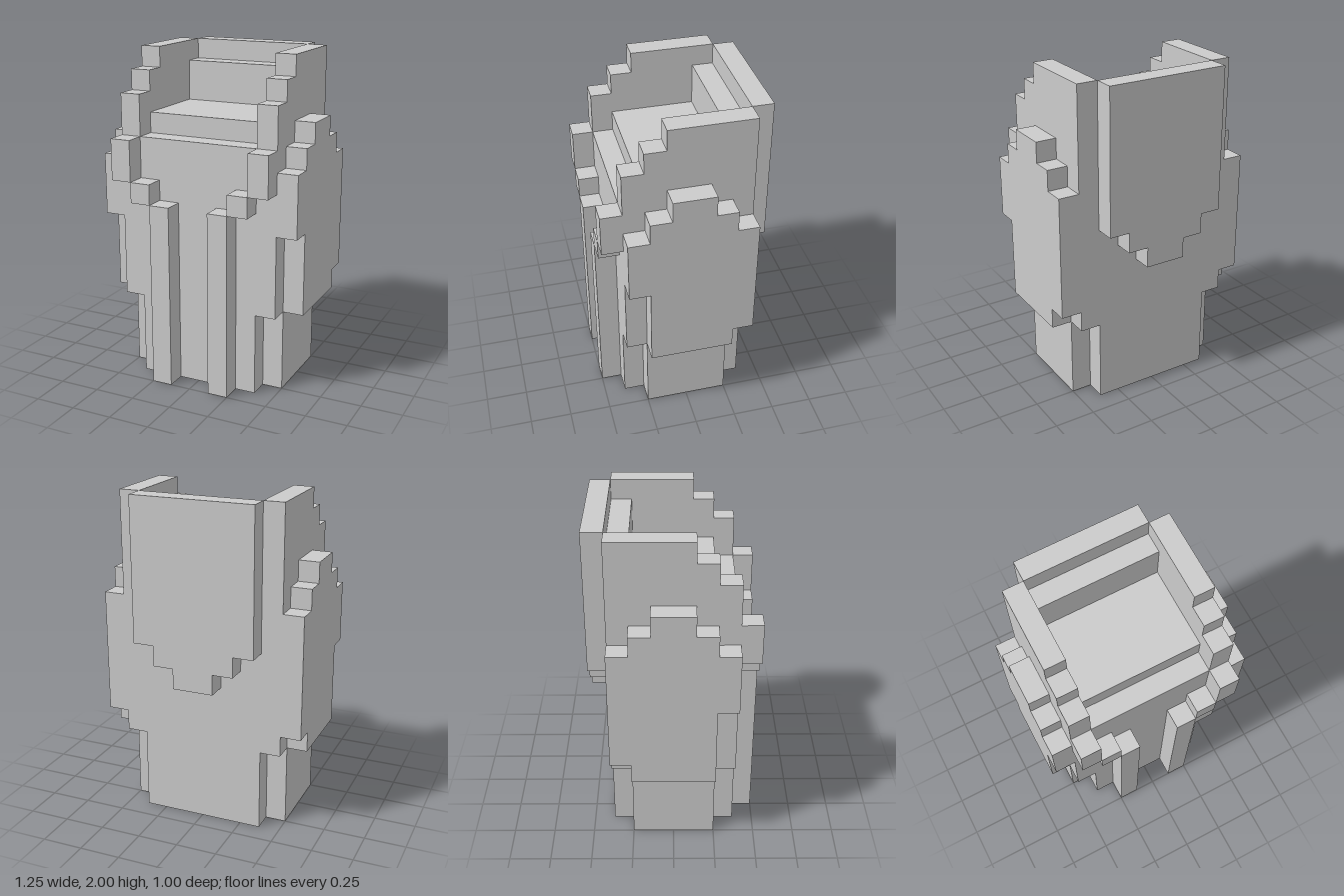
import * as THREE from 'three';

const U = 0.125; // one block
const material = new THREE.MeshStandardMaterial({ color: 0xcccccc, flatShading: true });

function outline(points) {
  return new THREE.Shape(points.map(([a, b]) => new THREE.Vector2(a * U, b * U)));
}

// Slab with a (z, y) outline, spanning x0..x1
function slabX(name, points, x0, x1) {
  const geo = new THREE.ExtrudeGeometry(outline(points), { depth: (x1 - x0) * U, bevelEnabled: false });
  geo.rotateY(-Math.PI / 2).translate(x1 * U, 0, 0);
  const mesh = new THREE.Mesh(geo, material);
  mesh.name = name;
  return mesh;
}

// Slab with an (x, y) outline, spanning z0..z1
function slabZ(name, points, z0, z1) {
  const geo = new THREE.ExtrudeGeometry(outline(points), { depth: (z1 - z0) * U, bevelEnabled: false });
  geo.translate(0, 0, z0 * U);
  const mesh = new THREE.Mesh(geo, material);
  mesh.name = name;
  return mesh;
}

const rect = (a0, b0, a1, b1) => [[a0, b0], [a1, b0], [a1, b1], [a0, b1]];

export function createModel() {
  const model = new THREE.Group();
  model.name = 'blockGarment';

  // Central body with stepped top between the collar walls
  model.add(slabX('body', [
    [-3, 0], [3, 0], [3, 12], [2, 12], [2, 13], [-2, 13], [-2, 15], [-3, 15],
  ], -3, 3));

  // Raised back panel, tapering in steps at the bottom
  model.add(slabZ('backPanel', [
    [-1, 7], [1, 7], [1, 8], [2, 8], [2, 9], [3, 9], [3, 16],
    [-3, 16], [-3, 9], [-2, 9], [-2, 8], [-1, 8],
  ], -4, -3));

  // Side wall: narrow skirt below, stepped collar above with a front lapel
  const wall = [
    [-2, 0], [2, 0], [2, 4], [3, 4], [3, 10], [4, 10], [4, 12], [3, 12],
    [3, 14], [2, 14], [2, 15], [1, 15], [1, 16], [-3, 16], [-3, 4], [-2, 4],
  ];
  // Outer sleeve with stepped shoulder and cuff
  const sleeve = [
    [-2, 4], [2, 4], [2, 8], [3, 8], [3, 11], [2, 11], [2, 12], [1, 12],
    [1, 13], [-1, 13], [-1, 12], [-2, 12], [-2, 11], [-3, 11], [-3, 5], [-2, 5],
  ];

  for (const [side, s] of [['left', 1], ['right', -1]]) {
    const span = (a, b) => (s > 0 ? [a, b] : [-b, -a]);
    const trim = (name, x0, y0, x1, y1) => {
      const [a, b] = span(x0, x1);
      return slabZ(side + name, rect(a, y0, b, y1), 3, 4);
    };
    model.add(
      slabX(side + 'Wall', wall, ...span(3, 4)),
      slabX(side + 'Sleeve', sleeve, ...span(4, 5)),
      trim('LapelStep', 2, 9, 3, 10),
      trim('FrontStrip', 1, 0, 2, 9),
    );
  }
  return model;
}
